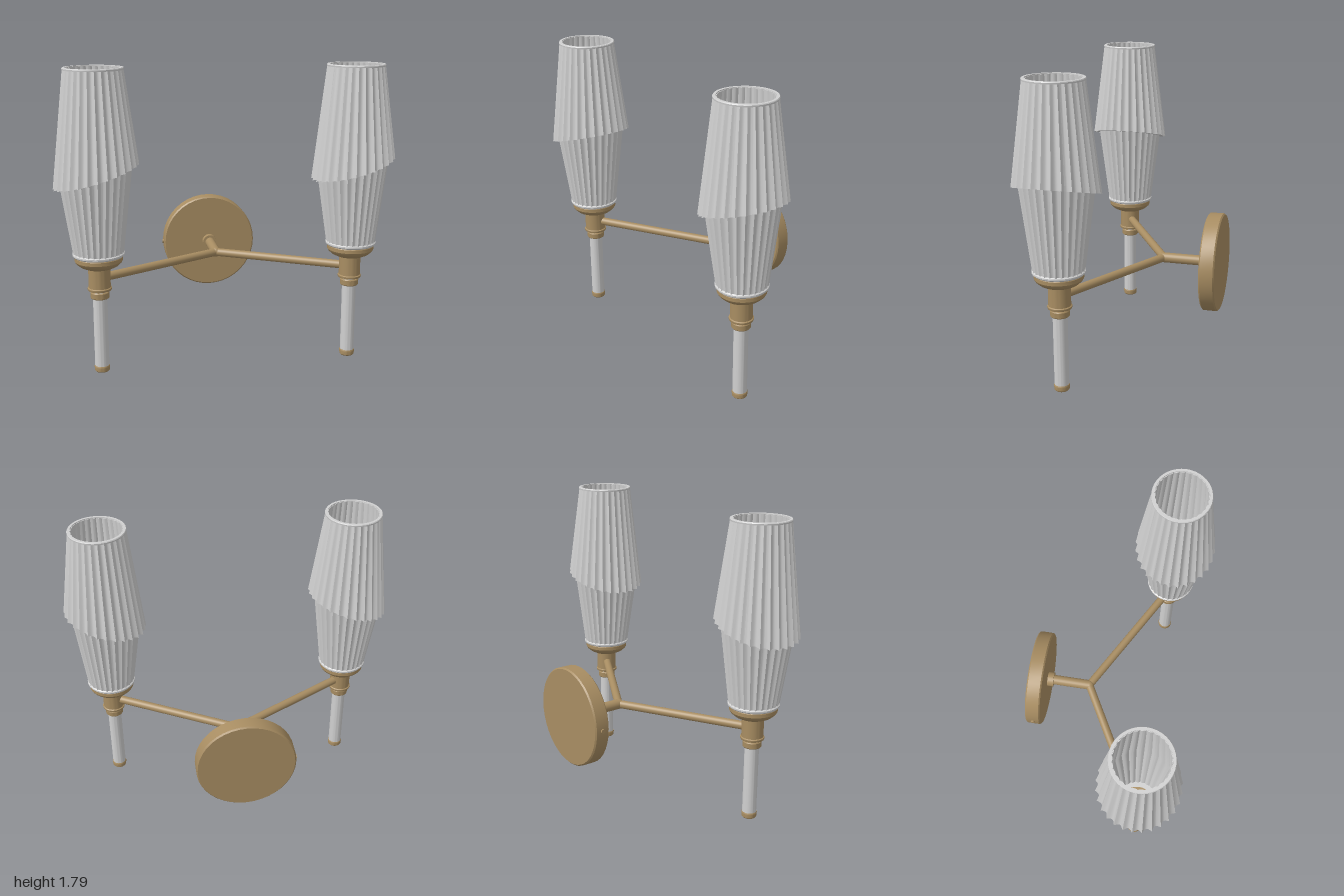
import * as THREE from 'three';
import { toCreasedNormals } from 'three/addons/utils/BufferGeometryUtils.js';

const brass = new THREE.MeshStandardMaterial({ color: 0xa88d62 });
brass.name = 'brass';
const glass = new THREE.MeshStandardMaterial({ color: 0xd0d0d0 });
glass.name = 'frosted glass';

const FLUTES = 28;
const Y_ARM = 0.575;

function part(name, geometry, material) {
  const mesh = new THREE.Mesh(geometry, material);
  mesh.name = name;
  return mesh;
}

// Turned part from [radius, height] pairs listed bottom to top
function turned(name, profile, material) {
  const points = profile.map(([r, y]) => new THREE.Vector2(r, y));
  return part(name, toCreasedNormals(new THREE.LatheGeometry(points, 40), 0.5), material);
}

// Straight round rod between two points
function rod(name, a, b, radius, material) {
  const mesh = part(name, new THREE.CylinderGeometry(radius, radius, a.distanceTo(b), 24), material);
  mesh.position.copy(a).lerp(b, 0.5);
  mesh.quaternion.setFromUnitVectors(new THREE.Vector3(0, 1, 0), b.clone().sub(a).normalize());
  return mesh;
}

// Fluted shell lofted through rings; a ring's tilt slants it along x
function flutedShade() {
  const rings = [
    { r: 0.146, y: 0.725, d: 0.008 },
    { r: 0.206, y: 1.18, d: 0.013, tilt: 0.285 },
    { r: 0.245, y: 1.18, d: 0.02, tilt: 0.285 },
    { r: 0.168, y: 1.785, d: 0.008 },
    { r: 0.152, y: 1.785, d: 0.005 },
    { r: 0.195, y: 1.18, d: 0.01, tilt: 0.285 },
    { r: 0.134, y: 0.74, d: 0.006 },
    { r: 0.095, y: 0.74, d: 0 },
  ];
  const n = FLUTES * 6;
  const positions = [];
  const index = [];
  rings.forEach(({ r, y, d, tilt = 0 }, i) => {
    for (let j = 0; j < n; j++) {
      const t = (j / n) * Math.PI * 2;
      const radius = r - d * Math.abs(Math.sin((t * FLUTES) / 2));
      const x = radius * Math.cos(t);
      positions.push(x, y + tilt * x, radius * Math.sin(t));
      if (i === rings.length - 1) continue;
      const a = i * n + j;
      const b = i * n + ((j + 1) % n);
      index.push(a, a + n, b, b, a + n, b + n);
    }
  });
  const geometry = new THREE.BufferGeometry();
  geometry.setAttribute('position', new THREE.Float32BufferAttribute(positions, 3));
  geometry.setIndex(index);
  return part('flutedShade', toCreasedNormals(geometry, 0.6), glass);
}

function createLamp(name) {
  const lamp = new THREE.Group();
  lamp.name = name;
  lamp.add(
    flutedShade(),
    // plain bands at both ends of the shade
    turned('topRim', [[0.152, 1.777], [0.17, 1.777], [0.171, 1.785], [0.168, 1.79], [0.153, 1.79], [0.152, 1.777]], glass),
    turned('bottomRim', [[0.1, 0.712], [0.144, 0.712], [0.15, 0.719], [0.15, 0.728], [0.142, 0.734]], glass),
    // cup, socket and its lower flange
    turned('cup', [[0.06, 0.638], [0.085, 0.642], [0.112, 0.655], [0.132, 0.673], [0.139, 0.685],
      [0.139, 0.706], [0.135, 0.712], [0.1, 0.712], [0.1, 0.745], [0, 0.745]], brass),
    turned('socket', [[0, 0.505], [0.068, 0.505], [0.07, 0.51], [0.07, 0.518], [0.064, 0.522], [0.064, 0.642]], brass),
    // hanging rod with collar and end cap
    turned('rodNeck', [[0.045, 0.49], [0.045, 0.51]], glass),
    turned('rodCollar', [[0, 0.455], [0.051, 0.455], [0.055, 0.46], [0.056, 0.49], [0.053, 0.495], [0, 0.495]], brass),
    turned('rod', [[0.042, 0.03], [0.042, 0.46]], glass),
    turned('endCap', [[0, 0], [0.039, 0], [0.044, 0.006], [0.046, 0.03], [0.043, 0.037], [0, 0.037]], brass),
    // fixing inside the shade
    turned('innerScrew', [[0.04, 0.745], [0.04, 0.765], [0.035, 0.77], [0, 0.77]], glass),
  );
  const slot = part('screwSlot', new THREE.BoxGeometry(0.05, 0.006, 0.01), brass);
  slot.position.y = 0.77;
  lamp.add(slot);
  return lamp;
}

export function createModel() {
  const model = new THREE.Group();
  model.name = 'wallLight';

  // round wall plate with softened edges
  const plate = turned('wallPlate', [[0, -0.52], [0.292, -0.52], [0.3, -0.512], [0.3, -0.434], [0.292, -0.426], [0, -0.426]], brass);
  plate.rotation.x = Math.PI / 2;
  plate.position.y = Y_ARM;
  model.add(plate);

  const at = (x, z) => new THREE.Vector3(x, Y_ARM, z);
  model.add(
    rod('plateScrew', at(-0.308, -0.472), at(-0.29, -0.472), 0.013, brass),
    rod('stemCollar', at(0, -0.43), at(0, -0.388), 0.046, brass),
    rod('stem', at(0, -0.4), at(0, -0.155), 0.031, brass),
  );
  const joint = part('joint', new THREE.SphereGeometry(0.031, 24, 16), brass);
  joint.position.copy(at(0, -0.155));
  model.add(joint);

  // two arms, each carrying a lamp
  for (const [side, s] of [['left', 1], ['right', -1]]) {
    model.add(rod(side + 'Arm', at(0, -0.155), at(s * 0.755, 0.265), 0.025, brass));
    const lamp = createLamp(side + 'Lamp');
    lamp.position.set(s * 0.755, 0, 0.265);
    model.add(lamp);
  }
  return model;
}
